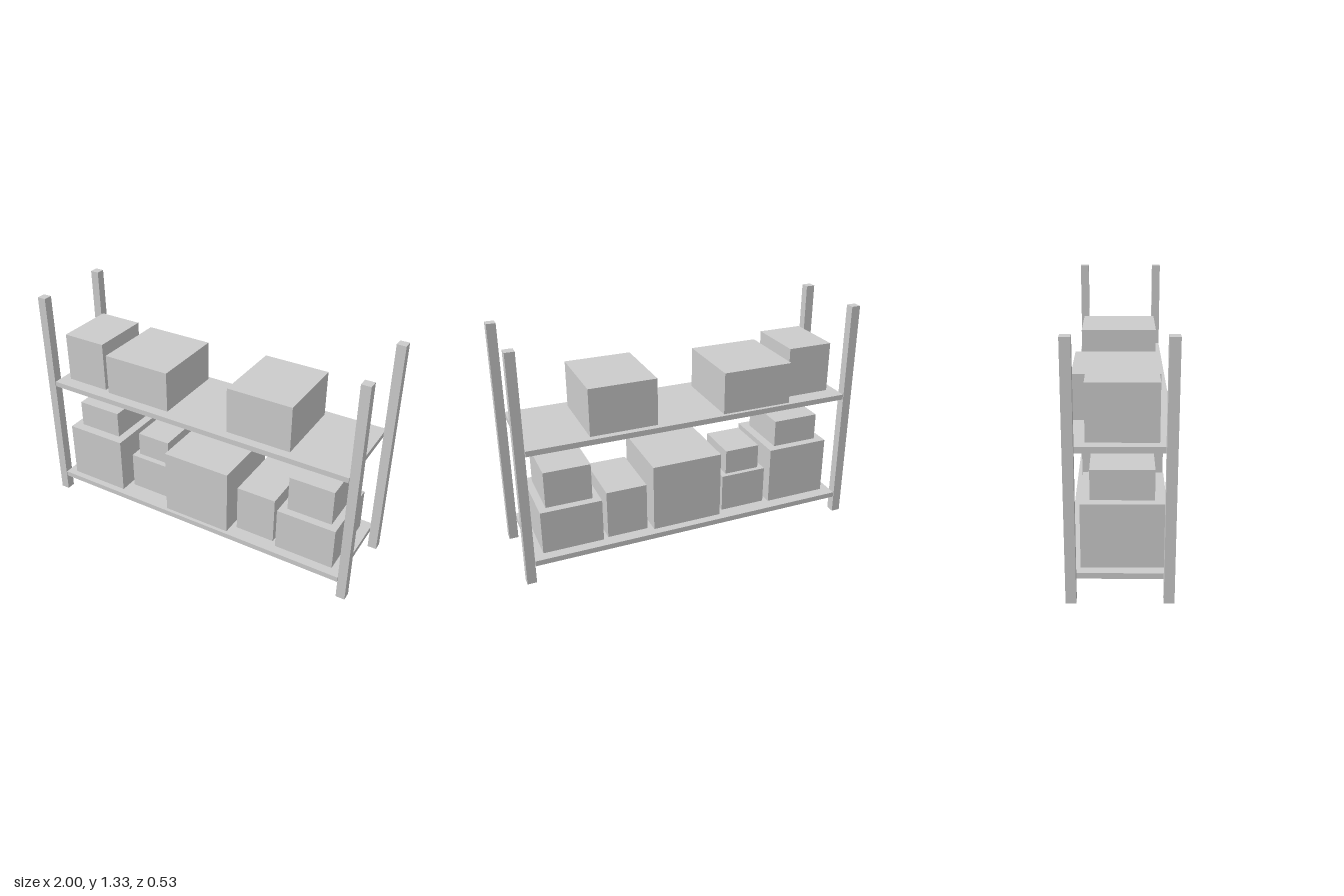
import * as THREE from 'three';

const material = new THREE.MeshStandardMaterial({ color: 0xcccccc, flatShading: true });

// Box given by its extents along each axis
function block(name, [x0, x1], [y0, y1], [z0, z1]) {
  const mesh = new THREE.Mesh(new THREE.BoxGeometry(x1 - x0, y1 - y0, z1 - z0), material);
  mesh.position.set((x0 + x1) / 2, (y0 + y1) / 2, (z0 + z1) / 2);
  mesh.name = name;
  return mesh;
}

export function createModel() {
  const model = new THREE.Group();
  model.name = 'storageRack';

  // Four corner posts
  for (const sx of [-1, 1]) {
    for (const sz of [-1, 1]) {
      const post = block('post', [-0.026, 0.026], [0, 1.333], [-0.026, 0.026]);
      post.position.x = sx * 0.974;
      post.position.z = sz * 0.239;
      model.add(post);
    }
  }

  // Two shelves
  const lowerTop = 0.135, upperTop = 0.8, thickness = 0.031;
  for (const [name, top] of [['lowerShelf', lowerTop], ['upperShelf', upperTop]]) {
    model.add(block(name, [-0.945, 0.945], [top - thickness, top], [-0.264, 0.264]));
  }

  // Boxes: x range, y range, z range
  const boxes = {
    upperBox: [
      [[-0.892, -0.625], [upperTop, 1.095], [-0.165, 0.187]],
      [[-0.59, -0.176], [upperTop, 1.043], [-0.243, 0.204]],
      [[0.213, 0.595], [upperTop, 1.069], [-0.228, 0.211]],
    ],
    lowerBox: [
      [[-0.892, -0.517], [lowerTop, 0.48], [-0.195, 0.226]],
      [[-0.487, -0.21], [lowerTop, 0.361], [-0.178, 0.15]],
      [[-0.177, 0.24], [lowerTop, 0.535], [-0.217, 0.243]],
      [[0.273, 0.51], [lowerTop, 0.421], [-0.192, 0.18]],
      [[0.54, 0.888], [lowerTop, 0.389], [-0.205, 0.21]],
    ],
    stackedBox: [
      [[-0.845, -0.567], [0.48, 0.641], [-0.148, 0.17]],
      [[-0.456, -0.244], [0.361, 0.509], [-0.15, 0.115]],
      [[0.581, 0.846], [0.389, 0.602], [-0.159, 0.163]],
    ],
  };
  for (const [name, list] of Object.entries(boxes)) {
    for (const [x, y, z] of list) model.add(block(name, x, y, z));
  }

  return model;
}
